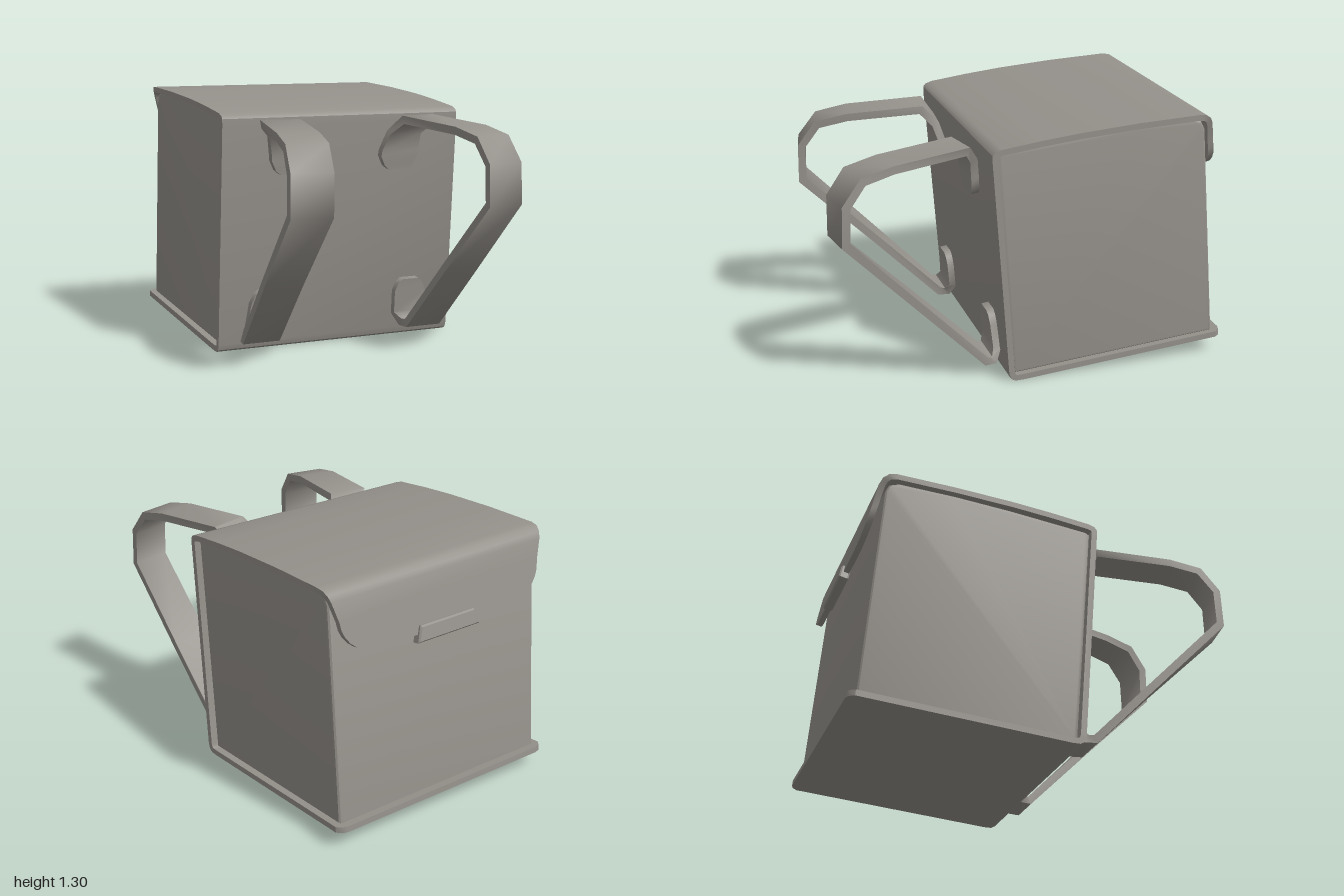
import * as THREE from 'three';
import { toCreasedNormals } from 'three/addons/utils/BufferGeometryUtils.js';

const material = new THREE.MeshStandardMaterial({ color: 0x95918b });

function add(group, name, geometry, crease = 0.5) {
  const mesh = new THREE.Mesh(toCreasedNormals(geometry, crease), material);
  mesh.name = name;
  group.add(mesh);
  return mesh;
}

// Solid band along a path of [z, y, xCentre, halfWidth, tilt]; it fills the
// space between two offsets along the path normal.
function band(path, outer, inner) {
  const dir = (a, b) => new THREE.Vector2(b[0] - a[0], b[1] - a[1]).normalize();
  const rings = path.map((p, i) => {
    const before = dir(path[Math.max(i - 1, 0)], path[Math.max(i, 1)]);
    const after = i < path.length - 1 ? dir(p, path[i + 1]) : before;
    const t = before.clone().add(after).normalize();
    const mitre = 1 / Math.max(0.6, t.dot(after));
    const [z, y, x, w, tilt = 0] = p;
    const corner = (side, offset) => [
      x + side * w,
      y - t.x * offset * mitre,
      z + t.y * offset * mitre + side * w * tilt,
    ];
    return [corner(-1, outer), corner(1, outer), corner(1, inner), corner(-1, inner)];
  });
  const pos = [];
  const quad = (a, b, c, d) => pos.push(...a, ...b, ...c, ...a, ...c, ...d);
  for (let i = 0; i < rings.length - 1; i++) {
    const r = rings[i], s = rings[i + 1];
    for (let k = 0; k < 4; k++) {
      const m = (k + 1) % 4;
      quad(r[k], r[m], s[m], s[k]);
    }
  }
  const first = rings[0], last = rings[rings.length - 1];
  quad(first[3], first[2], first[1], first[0]);
  quad(...last);
  const geometry = new THREE.BufferGeometry();
  geometry.setAttribute('position', new THREE.Float32BufferAttribute(pos, 3));
  return geometry;
}

export function createModel() {
  const group = new THREE.Group();
  const W = 0.66;

  // Padded box body, extruded sideways from its side profile
  const profile = new THREE.Shape([
    [0.13, 0.025], [0.225, 1.18], [0.2, 1.195], [-0.2, 1.24], [-0.5, 1.265],
    [-0.79, 1.277], [-0.84, 1.26], [-0.86, 1.22], [-0.955, 0.115],
  ].map(([z, y]) => new THREE.Vector2(z, y)));
  const body = new THREE.ExtrudeGeometry(profile, {
    depth: 1.22, bevelThickness: 0.02, bevelSize: 0.02, bevelOffset: -0.02, bevelSegments: 3,
  });
  body.translate(0, 0, -0.61).rotateY(-Math.PI / 2);
  add(group, 'body', body);

  // Wraparound panel: base, strap side, lid and hanging flap in one band
  const wrap = [
    [-1.0, 0.095, 0, 0.61], [-0.99, 0.094, 0, 0.64], [-0.965, 0.092, 0, W],
    [0.09, 0.003, 0, W], [0.13, 0.003, 0, W], [0.152, 0.015, 0, W], [0.162, 0.045, 0, W],
    [0.247, 1.16, 0, W], [0.247, 1.195, 0, W], [0.235, 1.21, 0, W], [0.2, 1.222, 0, W],
    [0, 1.248, 0, W], [-0.2, 1.269, 0, W], [-0.5, 1.291, 0, W], [-0.81, 1.305, 0, W],
    [-0.85, 1.3, 0, 0.655], [-0.878, 1.28, 0, 0.645], [-0.893, 1.25, 0, 0.635],
    [-0.915, 1.15, 0, 0.605],
  ];
  // rounded corners of the flap
  for (let i = 1; i <= 7; i++) {
    const a = (i / 7) * Math.PI / 2;
    const y = 1.15 - 0.165 * Math.sin(a);
    wrap.push([-0.915 - (1.15 - y) * 0.22, y, 0, 0.4 + 0.205 * Math.cos(a)]);
  }
  add(group, 'wraparoundPanel', band(wrap, 0, -0.03), 0.6);

  // Clasp tab at the lower edge of the flap
  const tab = new THREE.Shape([
    [-0.19, -0.04], [0.19, -0.04], [0.165, 0.04], [-0.165, 0.04],
  ].map(([x, y]) => new THREE.Vector2(x, y)));
  const tabGeometry = new THREE.ExtrudeGeometry(tab, {
    depth: 0.035, bevelThickness: 0.008, bevelSize: 0.008, bevelOffset: -0.008, bevelSegments: 1,
  });
  tabGeometry.translate(0, 0, -0.0175);
  const clasp = add(group, 'claspTab', tabGeometry);
  clasp.position.set(0, 0.985, -0.943);
  clasp.rotation.x = 0.22;

  // Shoulder straps, each with rounded end patches sewn to the panel
  const strap = [
    [0.25, 0.91, 0.305, 0.055], [0.252, 0.93, 0.305, 0.08], [0.26, 0.98, 0.305, 0.105],
    [0.262, 1.01, 0.308, 0.104], [0.28, 1.1, 0.33, 0.095, -0.1], [0.335, 1.17, 0.385, 0.1, -0.2],
    [0.72, 1.14, 0.465, 0.1, -0.2], [0.875, 1.105, 0.492, 0.1, -0.2],
    [0.96, 0.99, 0.508, 0.1, -0.18], [0.965, 0.8, 0.511, 0.1, -0.16],
    [0.6, 0.435, 0.49, 0.1, -0.06], [0.25, 0.08, 0.465, 0.1],
    [0.208, 0.08, 0.455, 0.1], [0.183, 0.13, 0.42, 0.1],
    [0.193, 0.25, 0.41, 0.09], [0.197, 0.295, 0.41, 0.07], [0.2, 0.315, 0.41, 0.045],
  ];
  for (const side of [1, -1]) {
    const path = strap.map(([z, y, x, w, tilt = 0]) => [z, y, x * side, w, tilt * side]);
    add(group, side > 0 ? 'leftShoulderStrap' : 'rightShoulderStrap', band(path, 0.02, -0.02), 0.9);
  }
  return group;
}
